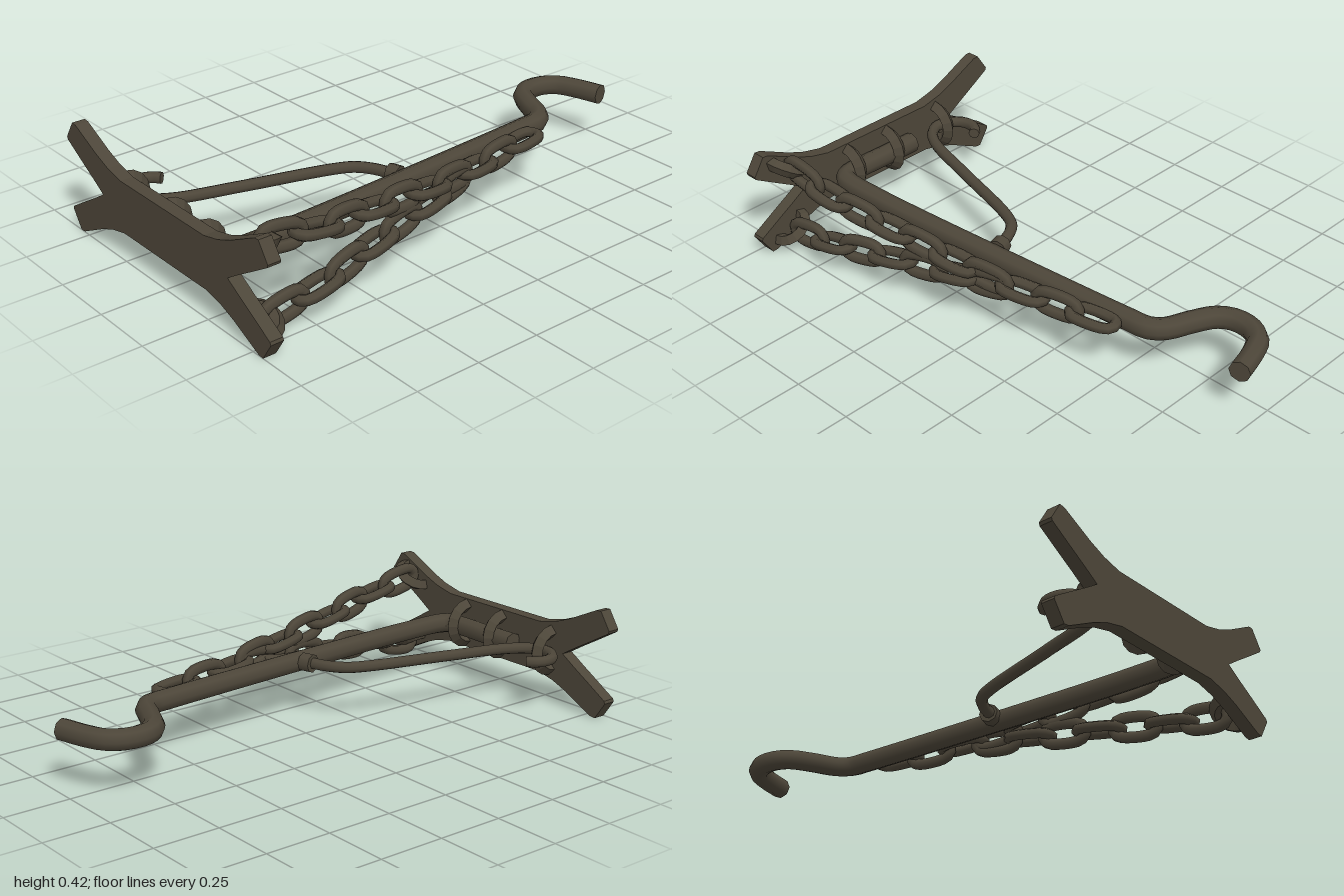
import * as THREE from 'three';
import { mergeGeometries } from 'three/addons/utils/BufferGeometryUtils.js';

const MID = 0.216; // height of the bracket's plane of symmetry
const V = (x, y, z) => new THREE.Vector3(x, y, z);

// Round bar along a horizontal path of [x, z] points, closed by flat caps
function bar(points, y, radius, segments) {
  const curve = new THREE.CatmullRomCurve3(points.map(([x, z]) => V(x, y, z)));
  const parts = [new THREE.TubeGeometry(curve, segments, radius, 8)];
  for (const t of [0, 1]) {
    const dir = curve.getTangentAt(t).multiplyScalar(t ? 1 : -1);
    const cap = new THREE.CircleGeometry(radius, 8);
    cap.applyQuaternion(new THREE.Quaternion().setFromUnitVectors(V(0, 0, 1), dir));
    const p = curve.getPointAt(t);
    parts.push(cap.translate(p.x, p.y, p.z));
  }
  return mergeGeometries(parts);
}

// Half ring with a diamond section, bulging away from the plate
function stapleGeometry(radius, tube) {
  const g = new THREE.TorusGeometry(radius, tube, 4, 8, Math.PI).rotateZ(-Math.PI / 2).toNonIndexed();
  g.computeVertexNormals();
  return g;
}

// Oval chain link, long along x and wide along y
function linkGeometry() {
  const pts = [];
  for (const side of [1, -1]) {
    for (let i = 0; i <= 4; i++) {
      const a = -Math.PI / 2 + (i * Math.PI) / 4;
      pts.push(V(side * (0.052 + 0.036 * Math.cos(a)), side * 0.036 * Math.sin(a), 0));
    }
  }
  return new THREE.TubeGeometry(new THREE.CatmullRomCurve3(pts, true), 20, 0.021, 6, true);
}

// Wall plate with a forked end at both sides
function plateGeometry() {
  const quarter = [[0.25, 0.1], [0.33, 0.118], [0.4, 0.145], [0.53, 0.208], [0.553, 0.21],
    [0.598, 0.142], [0.594, 0.131], [0.5, 0.075], [0.44, 0.04]];
  const flip = (list, sz, sy) => list.map(([z, y]) => [z * sz, y * sy]);
  const outline = [
    ...quarter, [0.375, 0], ...flip(quarter, 1, -1).reverse(),
    ...flip(quarter, -1, -1), [-0.375, 0], ...flip(quarter, -1, 1).reverse(),
  ];
  const shape = new THREE.Shape(outline.map(([z, y]) => new THREE.Vector2(z, y)));
  return new THREE.ExtrudeGeometry(shape, { depth: 0.05, bevelEnabled: false })
    .rotateY(-Math.PI / 2).translate(-0.95, MID, 0);
}

export function createModel() {
  const model = new THREE.Group();
  const iron = new THREE.MeshStandardMaterial({ color: 0x4d4639 });
  iron.name = 'dark iron';
  const add = (name, geometry, parent = model) => {
    const mesh = new THREE.Mesh(geometry, iron);
    mesh.name = name;
    parent.add(mesh);
    return mesh;
  };

  add('wallPlate', plateGeometry());

  // Main arm: runs along the plate, bends outwards and ends in a hook
  add('mainArm', bar([
    [-0.915, -0.145], [-0.915, 0], [-0.915, 0.17], [-0.9, 0.215], [-0.86, 0.23], [-0.7, 0.231],
    [-0.5, 0.222], [0, 0.187], [0.5, 0.147], [0.58, 0.137], [0.625, 0.1], [0.665, 0.01],
    [0.71, -0.07], [0.765, -0.102], [0.835, -0.1], [0.89, -0.065], [0.925, 0.01], [0.953, 0.112],
  ], 0.21, 0.04, 90));

  // Thin brace with a scroll at the wall end
  add('scrollBrace', bar([
    [-0.775, -0.355], [-0.795, -0.38], [-0.835, -0.395], [-0.88, -0.385], [-0.915, -0.345],
    [-0.927, -0.3], [-0.905, -0.25], [-0.83, -0.195], [-0.6, -0.122], [-0.27, -0.025],
    [-0.2, 0.01], [-0.155, 0.07], [-0.122, 0.17],
  ], MID, 0.022, 60));
  add('braceCollar', new THREE.CylinderGeometry(0.036, 0.036, 0.045, 8)
    .rotateX(Math.PI / 2).rotateY(0.3).translate(-0.125, MID, 0.145));

  // Staples holding the arm and the brace
  for (const z of [0.155, -0.045, -0.31]) {
    add('barStaple', stapleGeometry(0.072, 0.028)).position.set(-0.95, MID, z);
  }

  // Two chains that start on the front fork and join on the way to the arm
  const link = linkGeometry();
  const COUNT = 10;
  for (const s of [1, -1]) {
    const chain = new THREE.Group();
    chain.name = s > 0 ? 'upperChain' : 'lowerChain';
    model.add(chain);

    const anchor = add('chainStaple', stapleGeometry(0.062, 0.026), chain);
    anchor.position.set(-0.95, MID + s * 0.135, 0.465);
    anchor.rotation.x = s * 1.03;

    const path = new THREE.CatmullRomCurve3([
      [-0.845, 0.13, 0.452], [-0.69, 0.104, 0.448], [-0.4, 0.062, 0.393],
      [0, 0.012, 0.318], [0.15, 0, 0.282], [0.41, 0, 0.23],
    ].map(([x, y, z]) => V(x, MID + s * y, z)));

    const links = s > 0 ? COUNT : 7; // the joined end is shared
    for (let i = 0; i < links; i++) {
      const t = i / (COUNT - 1);
      const along = path.getTangentAt(t);
      const across = V(0, 0, 1).addScaledVector(along, -along.z).normalize();
      const up = across.clone().cross(along);
      const basis = i % 2
        ? new THREE.Matrix4().makeBasis(along, across, up.clone().negate())
        : new THREE.Matrix4().makeBasis(along, up, across);
      const mesh = add('chainLink', link, chain);
      mesh.quaternion.setFromRotationMatrix(basis);
      mesh.position.copy(path.getPointAt(t));
    }
  }
  return model;
}
